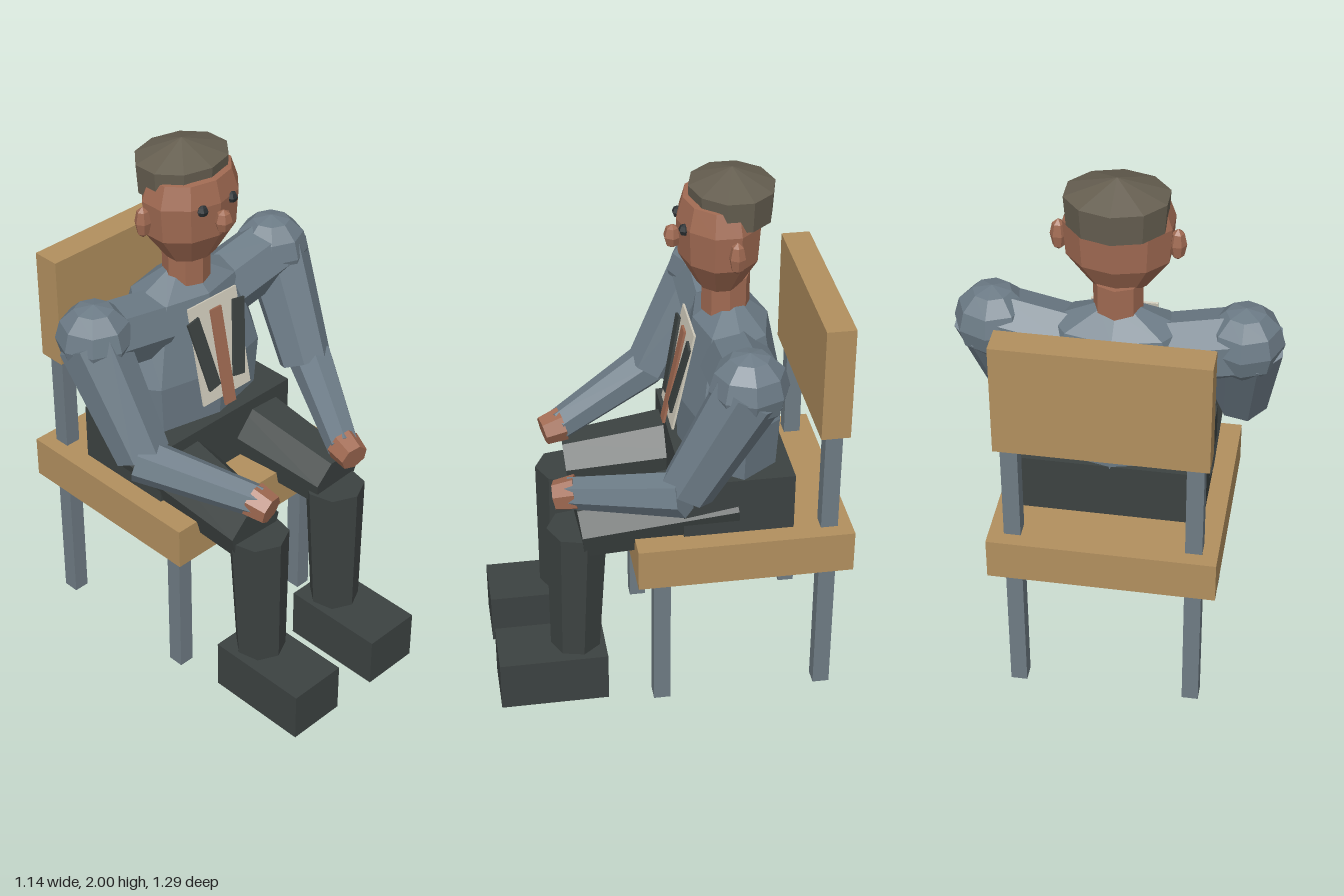
import * as THREE from 'three';

export function createModel() {
  const root = new THREE.Group();
  const mat = (name, color) => {
    const m = new THREE.MeshStandardMaterial({ color, flatShading: true });
    m.name = name;
    return m;
  };
  const wood = mat('wood', 0xb18f5e);
  const metal = mat('metal', 0x6e7b83);
  const jacket = mat('jacketGrey', 0x6c7b86);
  const dark = mat('darkCloth', 0x3c4241);
  const skin = mat('skin', 0xa06a52);
  const hairMat = mat('hair', 0x655e50);
  const shirt = mat('shirt', 0xd0cbbb);
  const eyeMat = mat('eye', 0x2b3033);

  const add = (name, geometry, material, parent = root) => {
    const mesh = new THREE.Mesh(geometry, material);
    mesh.name = name;
    parent.add(mesh);
    return mesh;
  };
  // Box given by its extents on each axis
  const box = (name, m, [x0, x1], [y0, y1], [z0, z1]) => {
    const mesh = add(name, new THREE.BoxGeometry(x1 - x0, y1 - y0, z1 - z0), m);
    mesh.position.set((x0 + x1) / 2, (y0 + y1) / 2, (z0 + z1) / 2);
  };
  // Tapered faceted limb running from a to b
  const limb = (name, m, a, b, ra, rb, sides = 7) => {
    const p = new THREE.Vector3(...a), q = new THREE.Vector3(...b);
    const dir = q.clone().sub(p);
    const mesh = add(name, new THREE.CylinderGeometry(rb, ra, dir.length(), sides), m);
    mesh.position.copy(p).add(q).multiplyScalar(0.5);
    mesh.quaternion.setFromUnitVectors(new THREE.Vector3(0, 1, 0), dir.normalize());
    return mesh;
  };
  // Faceted lathe of [radius, y] points, flattened in depth
  const turned = (name, m, points, sides, z, depth) => {
    const pts = points.map(([r, y]) => new THREE.Vector2(r, y));
    const mesh = add(name, new THREE.LatheGeometry(pts, sides), m);
    mesh.scale.z = depth;
    mesh.position.z = z;
  };
  const ball = (name, m, [x, y, z], [rx, ry, rz], w, h) => {
    const mesh = add(name, new THREE.SphereGeometry(1, w, h), m);
    mesh.scale.set(rx, ry, rz);
    mesh.position.set(x, y, z);
    return mesh;
  };

  // Chair
  box('seat', wood, [-0.405, 0.405], [0.56, 0.72], [-0.645, 0.14]);
  box('backrest', wood, [-0.37, 0.37], [1.11, 1.54], [-0.615, -0.51]);
  for (const s of [-1, 1]) {
    const span = [s * 0.32 - 0.03, s * 0.32 + 0.03];
    box('frontChairLeg', metal, span, [0, 0.56], [0.015, 0.077]);
    box('backChairLeg', metal, span, [0, 1.12], [-0.593, -0.531]);
  }

  // Body
  box('hips', dark, [-0.33, 0.33], [0.72, 0.94], [-0.435, -0.035]);
  turned('torso', jacket,
    [[0, 0.93], [0.325, 0.93], [0.345, 1.13], [0.235, 1.43], [0.08, 1.5], [0, 1.5]], 8, -0.25, 0.57);
  limb('neck', skin, [0, 1.46, -0.232], [0, 1.6, -0.232], 0.086, 0.086, 8);

  // Shirt front, tie and lapels leaning back with the chest
  const front = new THREE.Group();
  front.name = 'shirtFront';
  front.position.set(0, 1.23, -0.066);
  front.rotation.x = -0.2;
  root.add(front);
  add('shirtPanel', new THREE.BoxGeometry(0.235, 0.385, 0.008), shirt, front);
  const tie = add('tie', new THREE.BoxGeometry(0.052, 0.38, 0.009), skin, front);
  tie.position.set(0, -0.035, 0.012);
  for (const s of [-1, 1]) {
    const lapel = add('lapel', new THREE.BoxGeometry(0.056, 0.29, 0.009), dark, front);
    lapel.position.set(s * 0.086, 0.005, 0.012);
    lapel.rotation.z = -s * 0.18;
  }

  // Head
  turned('head', skin,
    [[0, 1.575], [0.1, 1.575], [0.183, 1.69], [0.193, 1.82], [0.165, 1.9], [0, 1.92]], 10, -0.205, 0.78);
  turned('hair', hairMat,
    [[0, 1.83], [0.172, 1.83], [0.18, 1.94], [0, 2.0]], 10, -0.246, 0.84);
  ball('nose', skin, [0, 1.755, -0.042], [0.034, 0.045, 0.032], 6, 4);

  for (const s of [-1, 1]) {
    ball('eye', eyeMat, [s * 0.07, 1.81, -0.073], [0.022, 0.022, 0.022], 6, 4);
    ball('ear', skin, [s * 0.2, 1.755, -0.232], [0.03, 0.06, 0.03], 6, 4);

    // Arms resting on the thighs
    limb('shoulderYoke', jacket, [s * 0.17, 1.33, -0.24], [s * 0.42, 1.38, -0.235], 0.125, 0.125);
    ball('shoulder', jacket, [s * 0.435, 1.39, -0.235], [0.137, 0.135, 0.14], 8, 6);
    limb('upperArm', jacket, [s * 0.45, 1.39, -0.235], [s * 0.415, 0.99, -0.03], 0.125, 0.1);
    limb('forearm', jacket, [s * 0.44, 0.985, -0.02], [s * 0.22, 0.88, 0.355], 0.085, 0.06);
    limb('hand', skin, [s * 0.23, 0.885, 0.335], [s * 0.215, 0.868, 0.41], 0.066, 0.055);

    // Legs and shoes
    limb('thigh', dark, [s * 0.19, 0.785, -0.23], [s * 0.212, 0.725, 0.33], 0.155, 0.115);
    limb('calf', dark, [s * 0.2, 0.19, 0.35], [s * 0.2, 0.715, 0.333], 0.094, 0.112);
    const shoeSpan = s > 0 ? [0.09, 0.317] : [-0.317, -0.09];
    box('shoe', dark, shoeSpan, [0, 0.195], [0.243, 0.645]);
  }
  return root;
}
